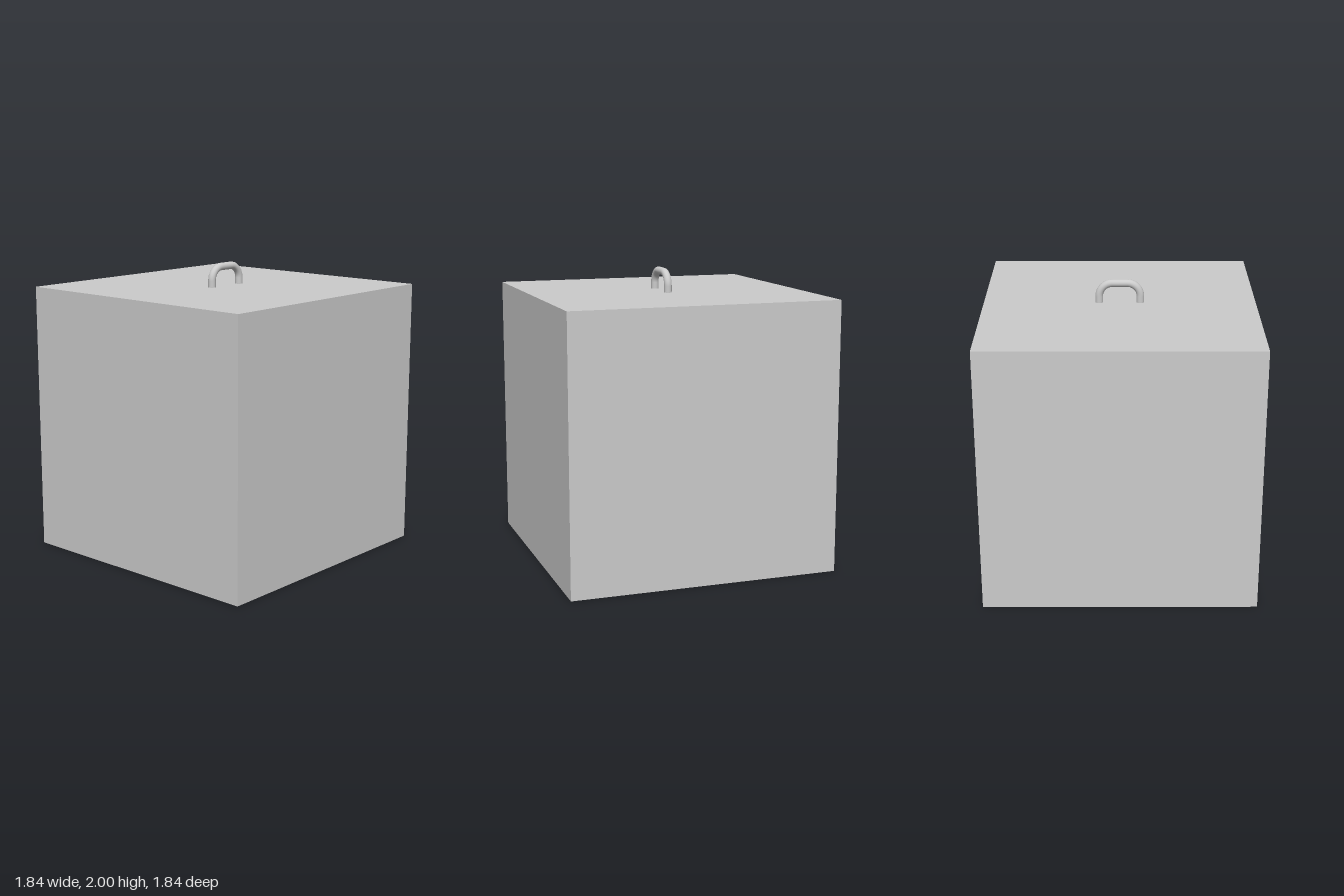
import * as THREE from 'three';

const SIZE = 1.84;        // cube edge
const TUBE = 0.026;       // handle rod radius
const HALF = 0.139;       // handle half span, on the rod's centre line
const TOP = 2 - TUBE;     // height of the grip's centre line
const BEND = 0.09;        // corner bend radius

export function createModel() {
  const group = new THREE.Group();
  const material = new THREE.MeshStandardMaterial({ color: 0xcccccc });

  // Solid cube body
  const body = new THREE.Mesh(new THREE.BoxGeometry(SIZE, SIZE, SIZE), material);
  body.name = 'body';
  body.position.y = SIZE / 2;
  group.add(body);

  // Handle path: leg, quarter bend, grip, quarter bend, leg; feet sink into the body
  const path = new THREE.CurvePath();
  const point = (z, y) => new THREE.Vector3(0, y, z);
  const k = BEND * 0.4477; // control offset that makes a Bezier a quarter circle
  const foot = SIZE - 0.02;
  const shoulder = TOP - BEND;
  const gripEnd = HALF - BEND;
  path.add(new THREE.LineCurve3(point(HALF, foot), point(HALF, shoulder)));
  path.add(new THREE.CubicBezierCurve3(
    point(HALF, shoulder), point(HALF, TOP - k), point(HALF - k, TOP), point(gripEnd, TOP)));
  path.add(new THREE.LineCurve3(point(gripEnd, TOP), point(-gripEnd, TOP)));
  path.add(new THREE.CubicBezierCurve3(
    point(-gripEnd, TOP), point(k - HALF, TOP), point(-HALF, TOP - k), point(-HALF, shoulder)));
  path.add(new THREE.LineCurve3(point(-HALF, shoulder), point(-HALF, foot)));

  const handle = new THREE.Mesh(new THREE.TubeGeometry(path, 64, TUBE, 20, false), material);
  handle.name = 'handle';
  group.add(handle);

  return group;
}
